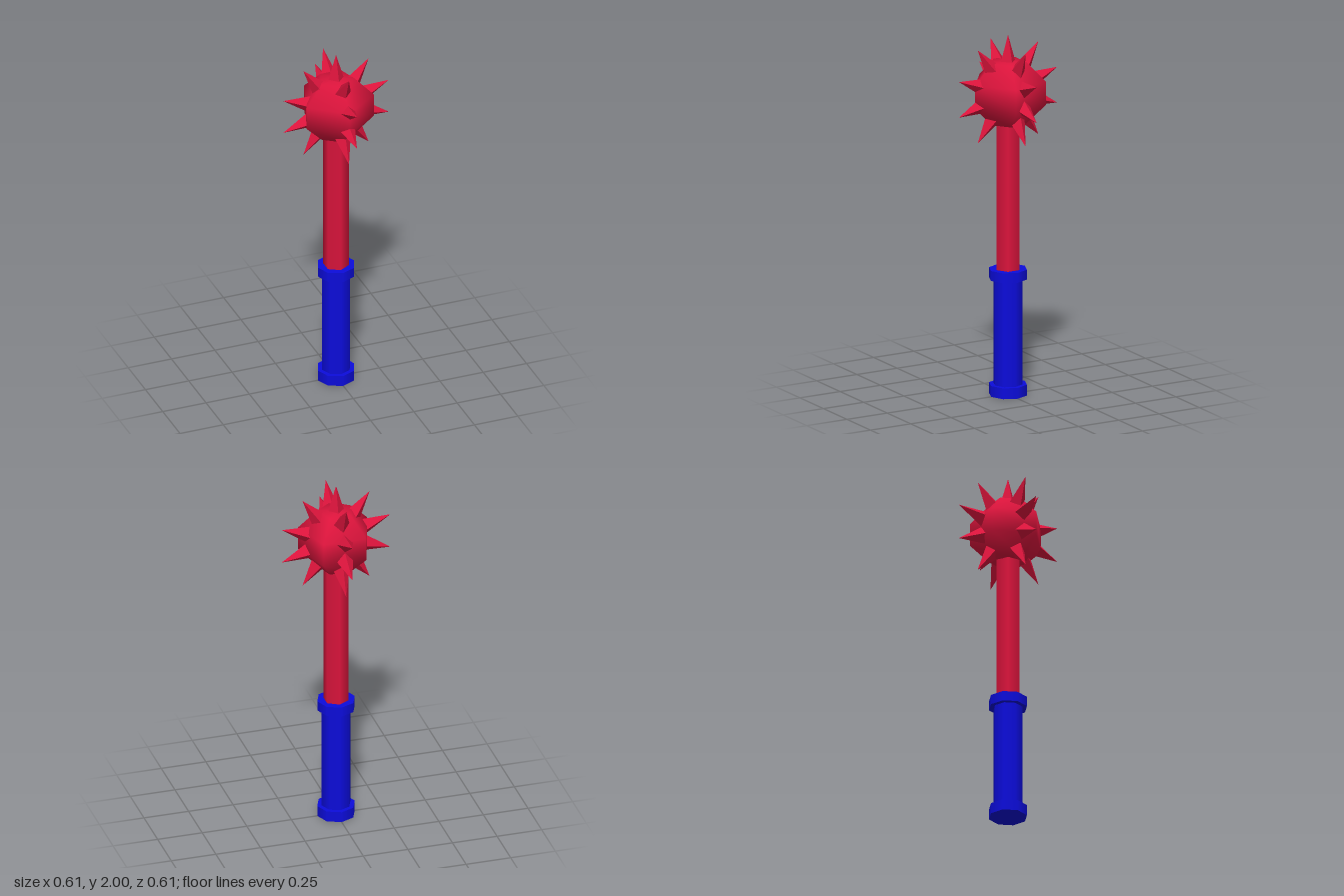
import * as THREE from 'three';

export function createModel() {
  const group = new THREE.Group();
  const red = new THREE.MeshStandardMaterial({ color: 0xdc143c });
  const redFlat = new THREE.MeshStandardMaterial({ color: 0xdc143c, flatShading: true });
  const blue = new THREE.MeshStandardMaterial({ color: 0x0c0cdc });

  const add = (name, geometry, material) => {
    const mesh = new THREE.Mesh(geometry, material);
    mesh.name = name;
    group.add(mesh);
    return mesh;
  };
  const rod = (name, radius, sides, y0, y1, material) => {
    const mesh = add(name, new THREE.CylinderGeometry(radius, radius, y1 - y0, sides), material);
    mesh.position.y = (y0 + y1) / 2;
  };

  // Handle: grip between two collars, then the hexagonal shaft
  rod('bottomCollar', 0.105, 8, 0, 0.06, blue);
  rod('grip', 0.08, 8, 0.05, 0.65, blue);
  rod('topCollar', 0.105, 8, 0.645, 0.7, blue);
  rod('shaft', 0.07, 6, 0.69, 1.56, red);

  // Five-sided, smoothly shaded head
  const centre = 1.68;
  const profile = [
    [0, -0.178], [0.1, -0.17], [0.204, -0.065],
    [0.204, 0.065], [0.1, 0.17], [0, 0.178],
  ].map(([r, y]) => new THREE.Vector2(r, y));
  add('head', new THREE.LatheGeometry(profile, 5), red).position.y = centre;

  // Four-sided spikes: one on top, and four at each latitude
  const spikeGeometry = new THREE.ConeGeometry(0.054, 0.18, 4);
  const up = new THREE.Vector3(0, 1, 0);
  const addSpike = (latitude, turn) => {
    const a = THREE.MathUtils.degToRad(latitude);
    const dir = new THREE.Vector3(0, Math.sin(a), Math.cos(a)).applyAxisAngle(up, turn);
    const spike = add('spike', spikeGeometry, redFlat);
    spike.quaternion.setFromUnitVectors(up, dir);
    spike.position.copy(dir).multiplyScalar(0.23);
    spike.position.y += centre;
  };
  addSpike(90, 0);
  for (const latitude of [54, 18, -18, -54]) {
    for (let i = 0; i < 4; i++) addSpike(latitude, i * Math.PI / 2);
  }

  return group;
}
